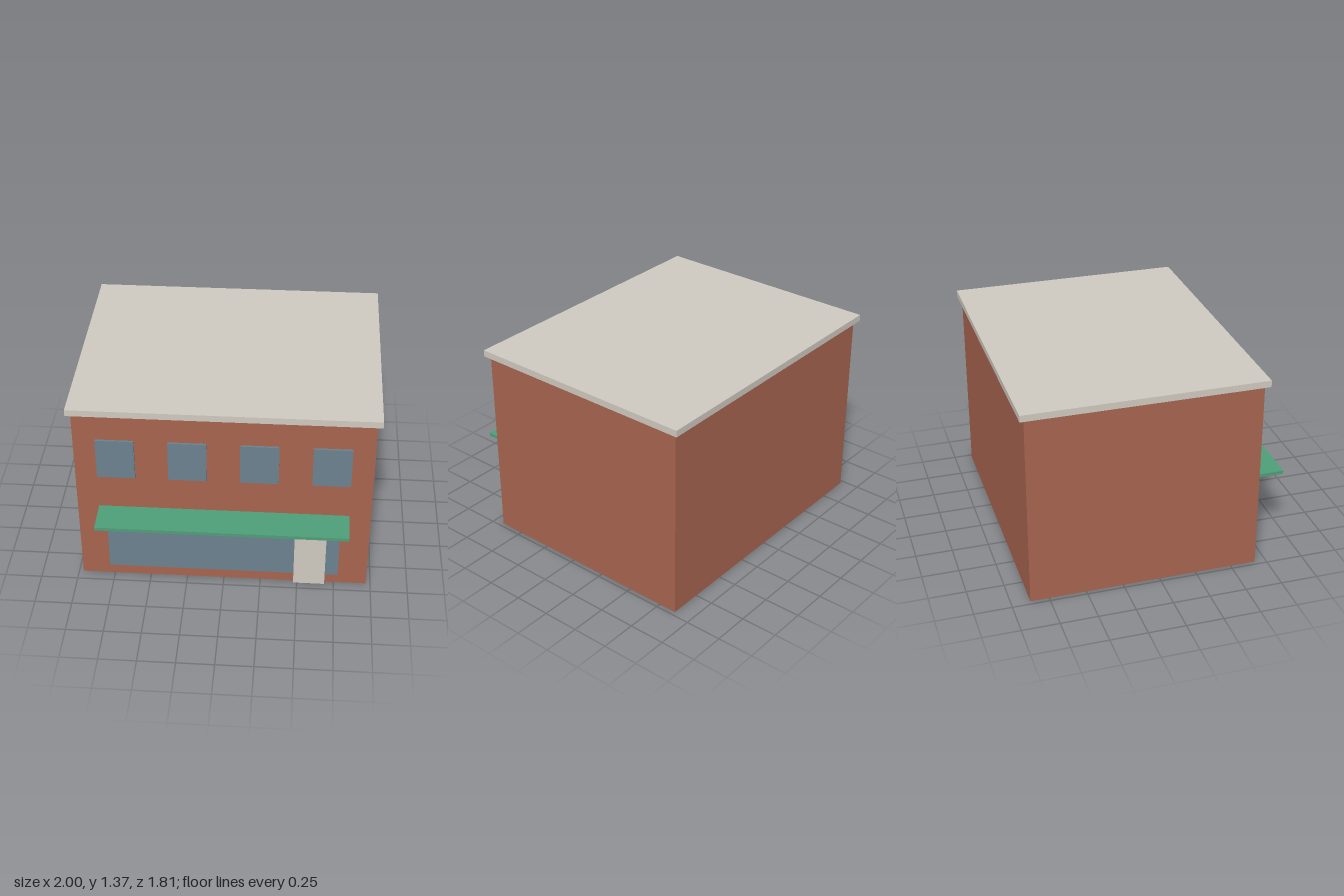
import * as THREE from 'three';

const material = (color) => new THREE.MeshStandardMaterial({ color });

export function createModel() {
  const group = new THREE.Group();
  const brick = material(0xa8644f);
  const stone = material(0xcfcac0);
  const glass = material(0x6b818f);
  const green = material(0x4f9f78);

  // Box given by its extents along each axis
  const box = (name, mat, [x0, x1], [y0, y1], [z0, z1]) => {
    const mesh = new THREE.Mesh(new THREE.BoxGeometry(x1 - x0, y1 - y0, z1 - z0), mat);
    mesh.position.set((x0 + x1) / 2, (y0 + y1) / 2, (z0 + z1) / 2);
    mesh.name = name;
    group.add(mesh);
  };

  const wallFront = 0.673;

  // Main block and overhanging flat roof
  box('walls', brick, [-0.97, 0.97], [0, 1.325], [-0.875, wallFront]);
  box('roof', stone, [-1, 1], [1.325, 1.37], [-0.905, 0.703]);

  // Upper storey windows
  for (let i = 0; i < 4; i++) {
    const x = -0.7 + i * (1.4 / 3);
    box(`upperWindow${i + 1}`, glass, [x - 0.125, x + 0.125], [0.84, 1.13], [wallFront - 0.015, 0.688]);
  }

  // Shop front
  box('shopWindow', glass, [-0.78, 0.775], [0.08, 0.545], [wallFront - 0.015, 0.688]);
  box('door', stone, [0.475, 0.687], [0, 0.45], [wallFront - 0.015, 0.697]);
  box('awning', green, [-0.827, 0.827], [0.566, 0.589], [wallFront - 0.005, 0.905]);

  return group;
}
